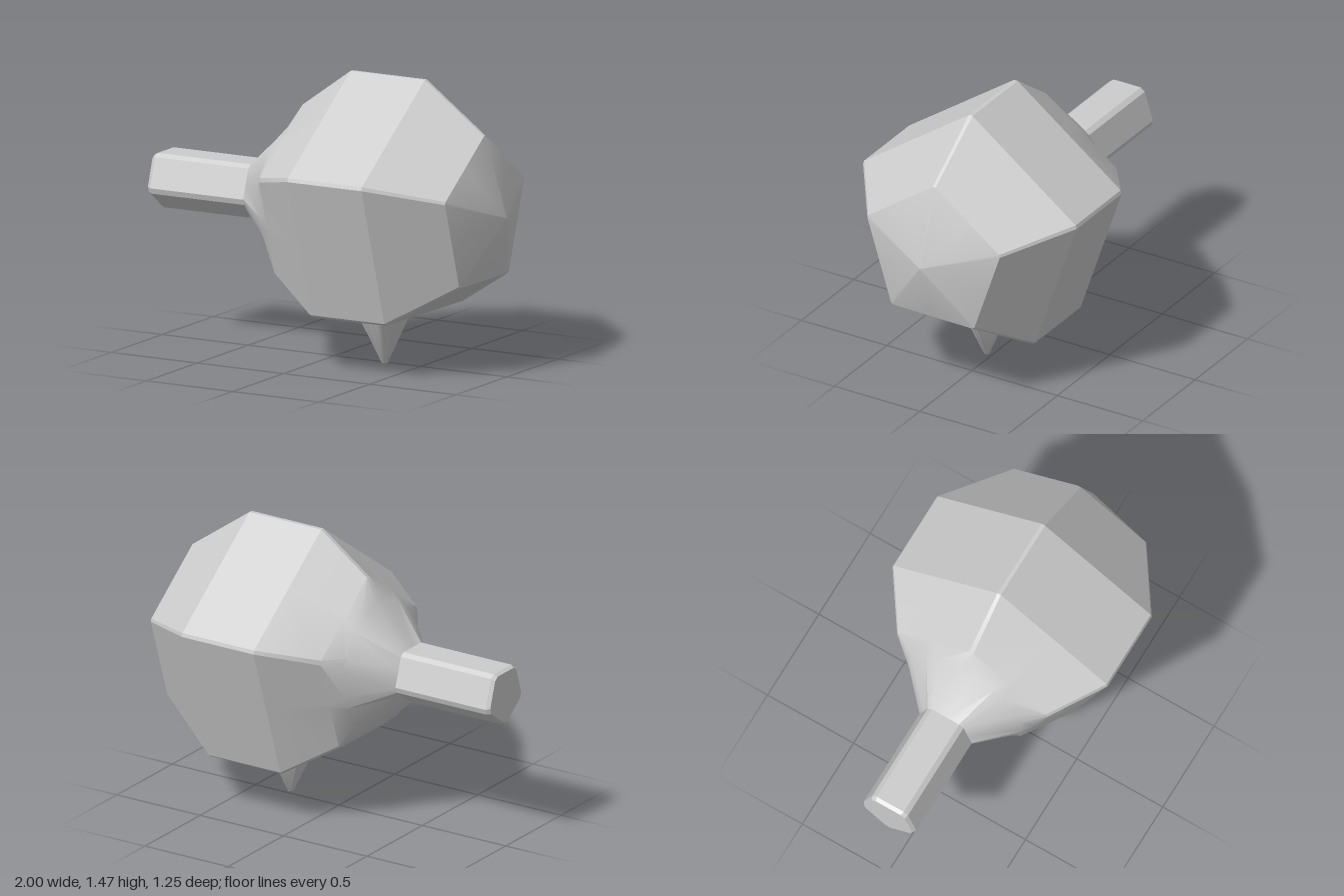
import * as THREE from 'three';
import { toCreasedNormals } from 'three/addons/utils/BufferGeometryUtils.js';

const TAN = Math.tan(Math.PI / 5), COS = Math.cos(Math.PI / 5);

// Distance to the flats of a pentagon whose blunted corners reach r (half width w)
const flat = (r, w) => (r + w * TAN) * COS;

// Cross-section at x: "up" corners at radius a, "down" corners at radius b, each split by a narrow bevel
function ring(x, a, b, wa, wb) {
  const points = [];
  for (let k = 0; k < 10; k++) {
    const t = (k * Math.PI) / 5;
    const [r, w] = k % 2 ? [b, wb] : [a, wa];
    for (const s of [-w, w]) {
      points.push([x, r * Math.cos(t) - s * Math.sin(t), r * Math.sin(t) + s * Math.cos(t)]);
    }
  }
  return points;
}
const upRing = (x, r, w) => ring(x, r, flat(r, w), w, w);
const downRing = (x, r, w) => ring(x, flat(r, w), r, w, w);
const tip = (x) => ring(x, 0, 0, 0, 0);

// Skin a row of rings along +x
function loft(rings, crease) {
  const n = rings[0].length, index = [];
  for (let i = 0; i < rings.length - 1; i++) {
    for (let j = 0; j < n; j++) {
      const k = (j + 1) % n, p = i * n, q = p + n;
      index.push(p + j, p + k, q + k, p + j, q + k, q + j);
    }
  }
  const geometry = new THREE.BufferGeometry();
  geometry.setAttribute('position', new THREE.Float32BufferAttribute(rings.flat(2), 3));
  geometry.setIndex(index);
  return toCreasedNormals(geometry, crease);
}

export function createModel() {
  const group = new THREE.Group();
  const material = new THREE.MeshStandardMaterial({ color: 0xcccccc });
  const add = (name, geometry, x, y, z) => {
    const mesh = new THREE.Mesh(geometry, material);
    mesh.name = name;
    mesh.position.set(x, y, z);
    group.add(mesh);
    return mesh;
  };

  // Five-sided head with a pointed nose, blending into the neck
  const head = add('head', loft([
    downRing(-0.44, 0.155, 0.015),
    ring(-0.25, 0.34, 0.33, 0.035, 0.035),
    upRing(-0.18, 0.455, 0.012),
    upRing(0.095, 0.655, 0.01),
    upRing(0.525, 0.655, 0.01),
    upRing(0.87, 0.405, 0.008),
    tip(1),
  ], 0.45), 0, 0.81, 0);
  head.rotation.x = -0.012;

  // Five-sided handle, turned half a step from the head
  add('handle', loft([
    tip(-1),
    downRing(-1, 0.142, 0.015),
    downRing(-0.98, 0.155, 0.015),
    downRing(-0.43, 0.155, 0.015),
  ], 0.45), 0, 0.81, 0);

  // Small spike hanging below the head
  const spike = loft([
    upRing(0, 0.185, 0.008),
    upRing(0.345, 0.014, 0.006),
    upRing(0.35, 0.009, 0.004),
    tip(0.35),
  ], 0.45).rotateZ(-Math.PI / 2);
  add('spike', spike, 0.31, 0.35, 0.03);

  return group;
}
